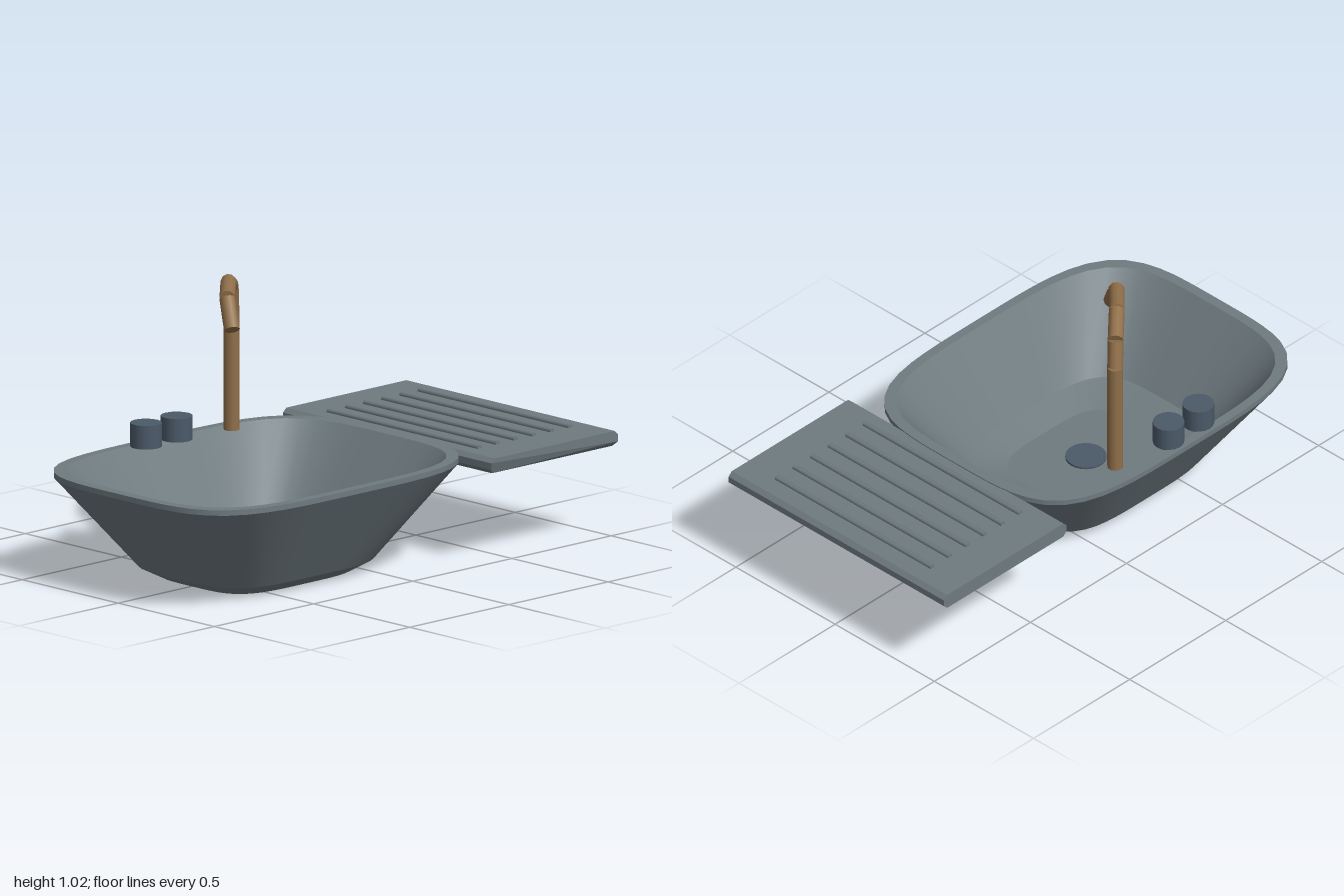
import * as THREE from 'three';

const paint = (name, color) => {
  const m = new THREE.MeshStandardMaterial({ color });
  m.name = name;
  return m;
};

// Loft of rounded-rectangle rings [halfX, halfZ, y]; each band keeps its own
// vertices, so it is smooth around and creased between bands.
function basinGeometry(rings, sides = 64, n = 4) {
  const pos = [], index = [];
  const addRing = ([a, b, y]) => {
    const start = pos.length / 3;
    for (let i = 0; i < sides; i++) {
      const t = (i / sides) * Math.PI * 2, c = Math.cos(t), s = Math.sin(t);
      const r = (Math.abs(c) ** n + Math.abs(s) ** n) ** (-1 / n);
      pos.push(a * r * c, y, b * r * s);
    }
    return start;
  };
  for (let k = 0; k < rings.length - 1; k++) {
    const lo = addRing(rings[k]), hi = addRing(rings[k + 1]);
    for (let i = 0; i < sides; i++) {
      const j = (i + 1) % sides;
      index.push(lo + i, hi + i, lo + j, lo + j, hi + i, hi + j);
    }
  }
  const g = new THREE.BufferGeometry();
  g.setAttribute('position', new THREE.Float32BufferAttribute(pos, 3));
  g.setIndex(index);
  g.computeVertexNormals();
  return g;
}

export function createModel() {
  const model = new THREE.Group();
  model.name = 'sink';
  const slate = paint('slate enamel', 0x6f7b80);
  const brass = paint('brass', 0x91704a);
  const steel = paint('blue steel', 0x4b5a69);

  const add = (name, geometry, material, x = 0, y = 0, z = 0) => {
    const mesh = new THREE.Mesh(geometry, material);
    mesh.name = name;
    mesh.position.set(x, y, z);
    model.add(mesh);
    return mesh;
  };

  // Basin: underside, outer wall, rim, inner wall, floor
  add('basin', basinGeometry([
    [0, 0, 0], [0.325, 0.255, 0], [0.4, 0.315, 0.04], [0.69, 0.54, 0.385],
    [0.69, 0.54, 0.405], [0.65, 0.505, 0.405], [0.41, 0.315, 0.1],
    [0.27, 0.21, 0.06], [0, 0, 0.06],
  ]), slate, -0.305);
  add('drain', new THREE.CylinderGeometry(0.075, 0.075, 0.012, 24), steel, -0.305, 0.062, 0);

  // Draining board with chamfered long sides and a chamfered lower front edge
  const profile = new THREE.Shape([
    [0.375, 0.343], [0.98, 0.343], [0.997, 0.36], [0.997, 0.385],
    [0.98, 0.401], [0.375, 0.401], [0.358, 0.385], [0.358, 0.36],
  ].map(([x, y]) => new THREE.Vector2(x, y)));
  const board = new THREE.ExtrudeGeometry(profile, { depth: 1.085, bevelEnabled: false });
  board.translate(0, 0, -0.545);
  const p = board.attributes.position;
  for (let i = 0; i < p.count; i++) {
    if (p.getZ(i) > 0 && p.getY(i) < 0.35) p.setZ(i, 0.525);
  }
  board.computeVertexNormals();
  add('drainingBoard', board, slate);

  // Drainage ribs
  const rib = new THREE.CylinderGeometry(0.011, 0.011, 0.785, 8).rotateX(Math.PI / 2);
  for (let i = 0; i < 6; i++) add('rib', rib, slate, 0.441 + i * 0.0915, 0.404, 0);

  // Tap: straight sections joined at angles
  const path = [
    [-0.005, 0.403, -0.438], [-0.005, 0.85, -0.438], [-0.028, 0.948, -0.418],
    [-0.12, 0.99, -0.335], [-0.235, 0.968, -0.222], [-0.272, 0.867, -0.16],
  ].map((q) => new THREE.Vector3(...q));
  for (let i = 0; i < path.length - 1; i++) {
    const dir = path[i + 1].clone().sub(path[i]);
    const tube = add(i ? 'spoutSection' : 'tapColumn',
      new THREE.CylinderGeometry(0.029, 0.029, dir.length(), 10), brass);
    tube.position.copy(path[i]).addScaledVector(dir, 0.5);
    tube.quaternion.setFromUnitVectors(new THREE.Vector3(0, 1, 0), dir.normalize());
  }

  // Tap knobs
  for (const x of [-0.405, -0.25]) {
    add('knob', new THREE.CylinderGeometry(0.058, 0.058, 0.088, 16), steel, x, 0.447, -0.47);
  }
  return model;
}
